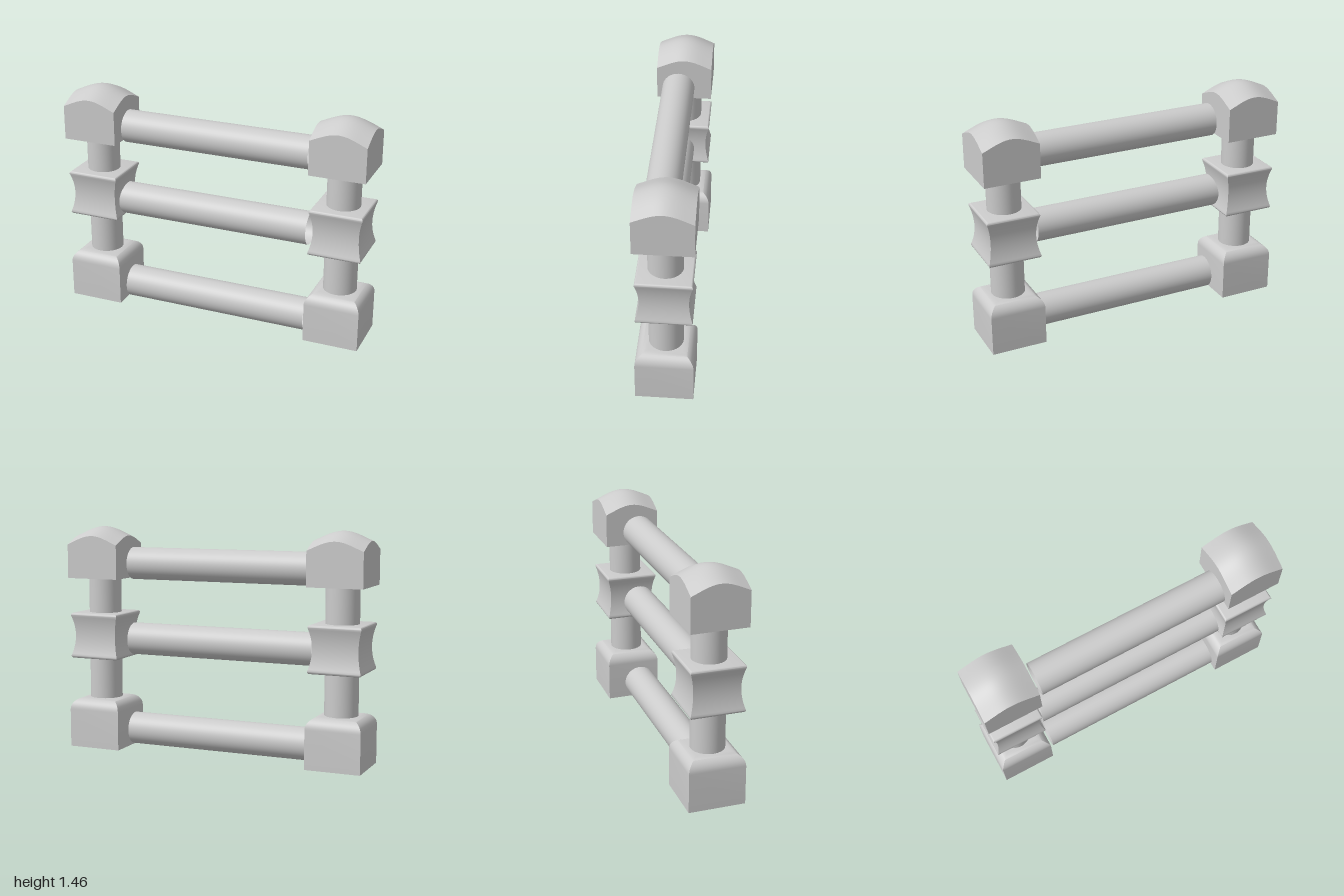
import * as THREE from 'three';
import { toCreasedNormals } from 'three/addons/utils/BufferGeometryUtils.js';

const material = new THREE.MeshStandardMaterial({ color: 0xcccccc });
const tubeMaterial = new THREE.MeshStandardMaterial({ color: 0xcccccc, side: THREE.DoubleSide });

const HALF = 0.178; // half width of the square blocks

function addMesh(parent, name, geometry, mat = material) {
  const mesh = new THREE.Mesh(geometry, mat);
  mesh.name = name;
  parent.add(mesh);
  return mesh;
}

// Square block whose half width follows a profile of [half width, y] points
function squareTurned(profile) {
  const points = profile.map(([half, y]) => new THREE.Vector2(half * Math.SQRT2, y));
  return toCreasedNormals(new THREE.LatheGeometry(points, 4, Math.PI / 4), 0.6);
}

// Base: straight sides, rounded shoulders
function baseGeometry() {
  const r = 0.075;
  const profile = [[0, 0], [HALF, 0]];
  for (let i = 0; i <= 10; i++) {
    const a = (i / 10) * Math.PI / 2;
    profile.push([HALF - r + r * Math.cos(a), 0.25 + r * Math.sin(a)]);
  }
  profile.push([0, 0.325]);
  return squareTurned(profile);
}

// Collar: concave waist between two rounded lips
function collarGeometry() {
  const mid = 0.745, waist = 0.146, lip = 0.169, r = 0.015, reach = 0.15 - r;
  const profile = [[0, mid - 0.15]];
  for (let i = 0; i <= 6; i++) {
    const a = (i / 6 - 1) * Math.PI / 2;
    profile.push([lip - r + r * Math.cos(a), mid - reach + r * Math.sin(a)]);
  }
  for (let i = 1; i < 20; i++) {
    const t = i / 10 - 1;
    profile.push([waist + (lip - waist) * t * t, mid + reach * t]);
  }
  for (let i = 0; i <= 6; i++) {
    const a = (i / 6) * Math.PI / 2;
    profile.push([lip - r + r * Math.cos(a), mid + reach + r * Math.sin(a)]);
  }
  profile.push([0, mid + 0.15]);
  return squareTurned(profile);
}

// Cap: box with a top that swells along both axes
function capGeometry() {
  const swell = (u) => 0.67 * (1 - u * u) + 0.33 * (0.5 + 0.5 * Math.cos(Math.PI * u));
  const geometry = new THREE.BoxGeometry(2 * HALF, 0.22, 2 * HALF, 24, 1, 24);
  geometry.translate(0, 1.235, 0);
  const p = geometry.attributes.position;
  for (let i = 0; i < p.count; i++) {
    if (p.getY(i) < 1.2) continue;
    p.setY(i, 1.345 + 0.0575 * (swell(p.getX(i) / HALF) + swell(p.getZ(i) / HALF)));
  }
  geometry.computeVertexNormals();
  return geometry;
}

// Open tube along x; saddle bends its -x end to follow a collar's waist
function railGeometry(x0, x1, saddle) {
  const r = 0.105;
  const geometry = new THREE.CylinderGeometry(r, r, x1 - x0, 48, 1, true);
  geometry.rotateZ(-Math.PI / 2);
  geometry.translate((x0 + x1) / 2, 0, 0);
  const p = geometry.attributes.position;
  for (let i = 0; i < p.count; i++) {
    if (p.getX(i) < 0) p.setX(i, x0 + saddle * (p.getY(i) / r) ** 2);
  }
  return geometry;
}

export function createModel() {
  const model = new THREE.Group();
  model.name = 'railing';

  // Two matching posts
  const base = baseGeometry(), collar = collarGeometry(), cap = capGeometry();
  const shaft = new THREE.CylinderGeometry(0.106, 0.106, 0.84, 48);
  for (const [name, x, z] of [['rightPost', -0.822, 0], ['leftPost', 0.822, -0.005]]) {
    const post = new THREE.Group();
    post.name = name;
    post.position.set(x, 0, z);
    addMesh(post, 'base', base);
    addMesh(post, 'shaft', shaft).position.y = 0.73;
    addMesh(post, 'collar', collar);
    addMesh(post, 'cap', cap);
    model.add(post);
  }

  // Three rails between the posts
  const rails = [
    ['bottomRail', 0.115, -0.615, 0],
    ['middleRail', 0.72, -0.647, 0.015],
    ['topRail', 1.22, -0.615, 0],
  ];
  for (const [name, y, x0, saddle] of rails) {
    addMesh(model, name, railGeometry(x0, 0.628, saddle), tubeMaterial).position.set(0, y, 0.035);
  }
  return model;
}
